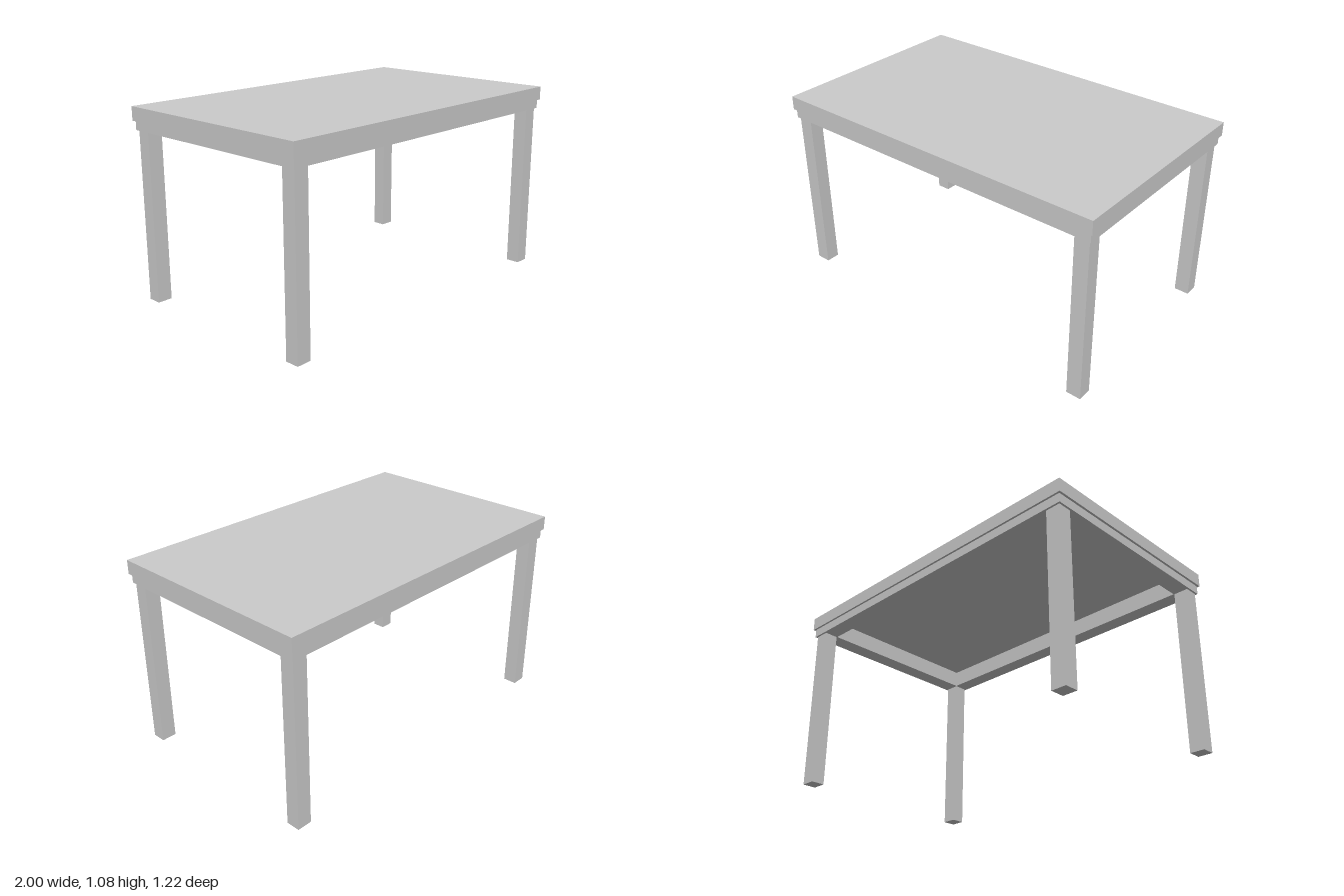
import * as THREE from 'three';

const material = new THREE.MeshStandardMaterial({ color: 0xcccccc, flatShading: true });

// Inner opening shared by the rim and the apron, flush with the legs
const INNER_X = 0.89, INNER_Z = 0.505;

function addBox(group, name, x0, x1, y0, y1, z0, z1) {
  const mesh = new THREE.Mesh(new THREE.BoxGeometry(x1 - x0, y1 - y0, z1 - z0), material);
  mesh.position.set((x0 + x1) / 2, (y0 + y1) / 2, (z0 + z1) / 2);
  mesh.name = name;
  group.add(mesh);
}

function rectangle(path, hx, hz) {
  path.moveTo(-hx, -hz);
  path.lineTo(hx, -hz);
  path.lineTo(hx, hz);
  path.lineTo(-hx, hz);
  path.closePath();
  return path;
}

// Rectangular frame lying flat between y0 and y1
function addFrame(group, name, hx, hz, y0, y1) {
  const shape = rectangle(new THREE.Shape(), hx, hz);
  shape.holes.push(rectangle(new THREE.Path(), INNER_X, INNER_Z));
  const geometry = new THREE.ExtrudeGeometry(shape, { depth: y1 - y0, bevelEnabled: false });
  geometry.rotateX(-Math.PI / 2);
  const mesh = new THREE.Mesh(geometry, material);
  mesh.position.y = y0;
  mesh.name = name;
  group.add(mesh);
}

export function createModel() {
  const table = new THREE.Group();
  table.name = 'table';

  // Top: a slab with a recessed underside
  const top = new THREE.Group();
  top.name = 'tabletop';
  addBox(top, 'topPanel', -1, 1, 1.05, 1.077, -0.608, 0.608);
  addFrame(top, 'topRim', 1, 0.608, 1.0, 1.05);
  table.add(top);

  // Apron set slightly in from the edge
  addFrame(table, 'apron', 0.988, 0.597, 0.95, 1.0);

  // Four square legs
  for (const sx of [-1, 1]) {
    for (const sz of [-1, 1]) {
      const name = (sz > 0 ? 'front' : 'back') + (sx > 0 ? 'Left' : 'Right') + 'Leg';
      const xs = [sx * 0.893, sx * 0.977].sort((a, b) => a - b);
      const zs = [sz * 0.508, sz * 0.586].sort((a, b) => a - b);
      addBox(table, name, xs[0], xs[1], 0, 0.95, zs[0], zs[1]);
    }
  }
  return table;
}
